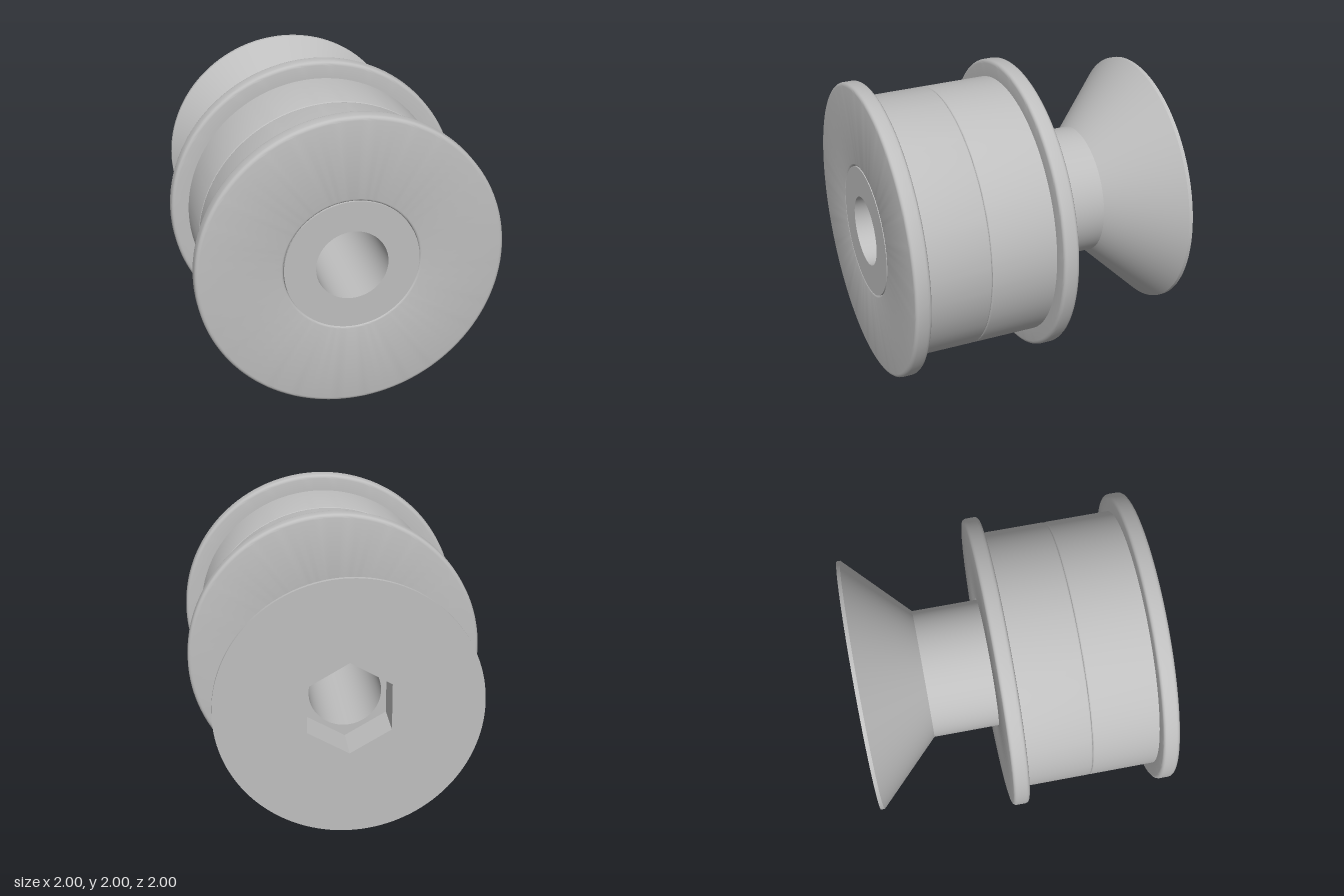
import * as THREE from 'three';
import { toCreasedNormals } from 'three/addons/utils/BufferGeometryUtils.js';

const SEGMENTS = 128;
const BORE = 0.235, SHAFT = 0.44, HEAD = 0.863, HEX = 0.31, HEX_FLOOR = -0.73;

// Closed profile from [radius, z, fillet] corners; every filleted corner is a right angle.
function roundedProfile(corners) {
  const points = [];
  corners.forEach(([r, z, fillet = 0], i) => {
    const p = new THREE.Vector2(r, z);
    if (!fillet) { points.push(p); return; }
    const n = corners.length;
    const toPrev = new THREE.Vector2(...corners[(i + n - 1) % n].slice(0, 2)).sub(p).normalize();
    const toNext = new THREE.Vector2(...corners[(i + 1) % n].slice(0, 2)).sub(p).normalize();
    const centre = p.clone().addScaledVector(toPrev, fillet).addScaledVector(toNext, fillet);
    for (let k = 0; k <= 4; k++) {
      const t = (k / 4) * Math.PI / 2;
      points.push(centre.clone()
        .addScaledVector(toNext, -fillet * Math.cos(t))
        .addScaledVector(toPrev, -fillet * Math.sin(t)));
    }
  });
  points.push(points[0].clone());
  return points;
}

// Turn a profile around the z axis, keeping sharp edges sharp.
function turn(points, segments = SEGMENTS) {
  const geometry = new THREE.LatheGeometry(points, segments).rotateX(Math.PI / 2);
  return toCreasedNormals(geometry, 0.5);
}

function ring(radius, sides) {
  return Array.from({ length: sides }, (_, i) => {
    const a = (i / sides) * Math.PI * 2;
    return new THREE.Vector2(radius * Math.sin(a), radius * Math.cos(a));
  });
}

// Flat face looking to -z, with a hole through it.
function backFace(outer, hole, z) {
  const shape = new THREE.Shape(outer);
  shape.holes.push(new THREE.Path(hole));
  return new THREE.ShapeGeometry(shape).rotateY(Math.PI).translate(0, 0, z);
}

export function createModel() {
  const steel = new THREE.MeshStandardMaterial({ color: 0xbfbfbf });
  steel.name = 'grey steel';
  const model = new THREE.Group();
  model.name = 'flangedRoller';
  const add = (name, geometry, parent) => {
    const mesh = new THREE.Mesh(geometry, steel);
    mesh.name = name;
    parent.add(mesh);
  };

  // Two flanged bushings meeting at a fine seam
  const bushing = turn(roundedProfile([
    [0.442, 0, 0.01],
    [0.885, 0, 0.01],
    [0.885, 0.445],
    [1, 0.445, 0.025],
    [1, 0.555, 0.025],
    [0.442, 0.555, 0.015],
  ]));
  add('frontBushing', bushing, model);
  add('rearBushing', bushing.clone().rotateY(Math.PI), model);
  model.children.forEach((mesh) => { mesh.position.z = 0.445; });

  // Hollow countersunk pin
  const pin = new THREE.Group();
  pin.name = 'countersunkPin';
  model.add(pin);
  add('pinBody', turn([
    [HEAD, -1], [HEAD, -0.975], [SHAFT, -0.555], [SHAFT, 1], [BORE, 1], [BORE, HEX_FLOOR],
  ].map((p) => new THREE.Vector2(...p))), pin);
  add('headFace', backFace(ring(HEAD, SEGMENTS), ring(HEX, 6), -1), pin);

  // Hexagonal socket in the head
  add('socketWalls', turn([new THREE.Vector2(HEX, HEX_FLOOR), new THREE.Vector2(HEX, -1)], 6), pin);
  add('socketFloor', backFace(ring(HEX, 6), ring(BORE, SEGMENTS), HEX_FLOOR), pin);

  model.position.y = 1;
  const root = new THREE.Group();
  root.name = 'roller';
  root.add(model);
  return root;
}
